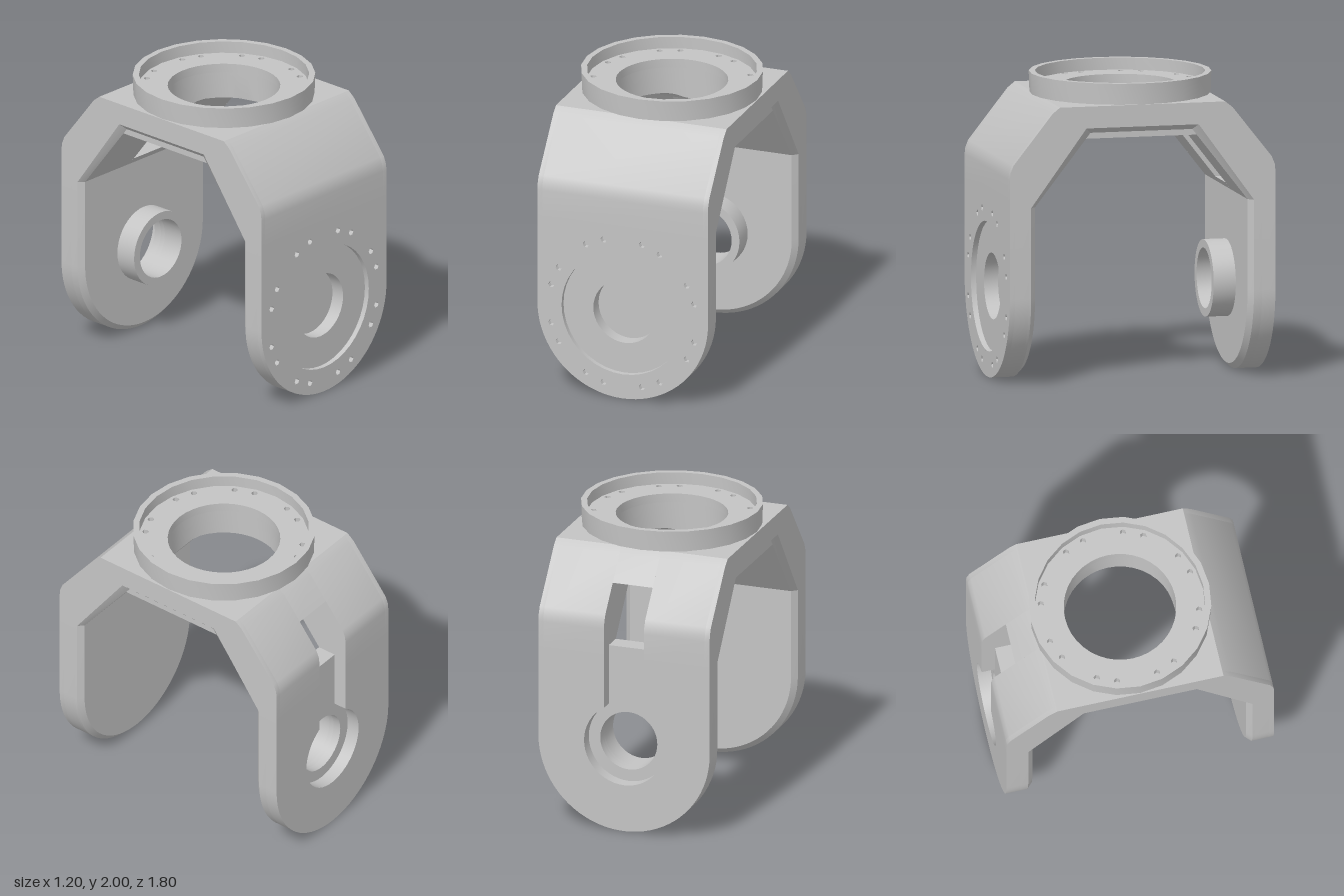
import * as THREE from 'three';
import { toCreasedNormals } from 'three/addons/utils/BufferGeometryUtils.js';

const CY = 0.6;          // centre height of the arm bores
const W = 0.6;           // half width
const EDGE = 0.035;      // chamfer on the inner rim
const C = W - EDGE;      // half width inside the chamfers
const JOIN = 1.2;        // height where the arms meet the arch

const extrude = (shape, depth) =>
  new THREE.ExtrudeGeometry(shape, { depth, bevelEnabled: false, curveSegments: 20 });

const polygon = (points) => new THREE.Shape(points.map(([a, b]) => new THREE.Vector2(a, b)));

const circle = (r, y = 0, Kind = THREE.Path) => {
  const p = new Kind();
  p.absarc(0, y, r, 0, Math.PI * 2, false);
  return p;
};

// Cut sixteen small bolt holes, in fours around each axis
function boltHoles(shape, radius, y) {
  for (let quarter = 0; quarter < 360; quarter += 90) {
    for (const offset of [-30, -15, 15, 30]) {
      const a = THREE.MathUtils.degToRad(quarter + offset);
      const hole = [];
      for (let i = 0; i < 6; i++) {
        const t = (i * Math.PI) / 3;
        hole.push(new THREE.Vector2(
          Math.cos(a) * radius + 0.022 * Math.cos(t),
          Math.sin(a) * radius + 0.022 * Math.sin(t) + y));
      }
      shape.holes.push(new THREE.Path(hole));
    }
  }
  return shape;
}

// Move the vertices of a geometry by a rule
function reshape(geo, rule) {
  const p = geo.attributes.position;
  const v = new THREE.Vector3();
  for (let i = 0; i < p.count; i++) {
    v.fromBufferAttribute(p, i);
    rule(v);
    p.setXYZ(i, v.x, v.y, v.z);
  }
  return geo;
}

// Arm outline with a half-round foot; the top edge may dip into a groove
function armShape(holeRadius, groove) {
  const s = new THREE.Shape();
  s.moveTo(W, JOIN);
  if (groove) {
    const a = Math.acos(groove.half / groove.radius);
    s.lineTo(groove.half, JOIN);
    s.absarc(0, CY, groove.radius, a, Math.PI - a, true);
    s.lineTo(-groove.half, JOIN);
  }
  s.lineTo(-W, JOIN);
  s.lineTo(-W, CY);
  s.absarc(0, CY, W, Math.PI, Math.PI * 2, false);
  s.lineTo(W, JOIN);
  if (holeRadius) s.holes.push(circle(holeRadius, CY));
  return s;
}

// Shrink the outer rim on one face of a layer to make the chamfer
function taper(geo, z) {
  const k = C / W;
  return reshape(geo, (v) => {
    if (Math.abs(v.z - z) > 1e-4 || Math.hypot(v.x, v.y - CY) < 0.5) return;
    v.x *= k;
    if (v.y < CY) v.y = CY + (v.y - CY) * k;
  });
}

export function createModel() {
  const model = new THREE.Group();
  model.name = 'forkBracket';
  const grey = new THREE.MeshStandardMaterial({ color: 0xc4c4c4 });
  grey.name = 'light grey';

  const add = (parent, name, geo) => {
    const m = new THREE.Mesh(toCreasedNormals(geo, 0.5), grey);
    m.name = name;
    parent.add(m);
  };
  const group = (name) => {
    const g = new THREE.Group();
    g.name = name;
    model.add(g);
    return g;
  };
  const layer = (shape, z0, z1) => extrude(shape, z1 - z0).translate(0, 0, z0);
  // Profile given as (distance to the back, height), extruded along x
  const prism = (points, x0, x1) =>
    extrude(polygon(points), x1 - x0).rotateY(Math.PI / 2).translate(x0, 0, 0);
  // Flat shape laid down, between two heights
  const slab = (shape, y0, y1) =>
    extrude(shape, y1 - y0).rotateX(-Math.PI / 2).translate(0, y0, 0);

  // Front arm: solid inside, stepped round recess and bolt circle outside
  const front = group('frontArm');
  add(front, 'frontInnerRim', taper(layer(armShape(0), 0.72, 0.755), 0.72));
  add(front, 'frontWeb', layer(armShape(0), 0.755, 0.77));
  add(front, 'frontBlindBore', layer(armShape(0.22), 0.77, 0.865));
  add(front, 'frontRecess', layer(boltHoles(armShape(0.43), 0.52, CY), 0.865, 0.9));

  // Back arm: through bore, counterbore and groove, bearing boss inside
  const back = group('backArm');
  add(back, 'backInnerRim', taper(layer(armShape(0.2), -0.755, -0.72), -0.72));
  add(back, 'backWeb', layer(armShape(0.2), -0.81, -0.755));
  add(back, 'backGroovedFace', layer(armShape(0, { radius: 0.28, half: 0.14 }), -0.9, -0.81));
  const boss = circle(0.255, CY, THREE.Shape);
  boss.holes.push(circle(0.2, CY));
  add(back, 'bearingBoss', layer(boss, -0.72, -0.57));

  // Sloping shoulders with a rounded bend; the back one is split around the slot
  const arch = group('arch');
  const bend = [[0.9, JOIN], [0.9, 1.39], [0.895, 1.435], [0.875, 1.485], [0.61, 1.82], [0.56, 1.86]];
  const seat = [[0.375, 1.86], [0.375, 1.642]];
  const shoulder = [...bend, ...seat, [0.72, JOIN]];
  add(arch, 'frontShoulder', prism(shoulder, -C, C).rotateY(Math.PI));
  add(arch, 'backShoulderRight', prism(shoulder, -C, -0.14));
  add(arch, 'backShoulderLeft', prism(shoulder, 0.14, C));
  add(arch, 'slotHead', prism(
    [[0.737, 1.66], ...bend.slice(-2), seat[0], [0.375, 1.66]], -0.14, 0.14));
  add(arch, 'slotLedge', prism(
    [[0.81, JOIN], [0.81, 1.25], [0.68, 1.25], [0.72, JOIN]], -0.14, 0.14));

  // Top plate with its round opening; the underside follows the shoulders
  const plate = polygon([[-C, -0.375], [C, -0.375], [C, 0.375], [-C, 0.375]]);
  plate.holes.push(circle(0.37));
  add(arch, 'topPlate', reshape(slab(plate, 1.68, 1.86), (v) => {
    if (v.y < 1.7) v.y -= Math.max(0, Math.abs(v.z) - 0.345) * 1.28;
  }));

  // Chamfered side edges of the arch
  const mirror = (points) => points.map(([z, y]) => [-z, y]).reverse();
  const inner = [[0.345, 1.68], [0.72, JOIN]];
  const outline = [...bend, ...mirror(bend), ...mirror(inner), ...inner];
  for (const [name, turn] of [['leftRim', 0], ['rightRim', Math.PI]]) {
    const rim = reshape(prism(outline, C, W), (v) => {
      if (v.x < W - 1e-4 || Math.abs(v.z) > 0.73 || v.y > 1.8) return;
      v.z += Math.sign(v.z) * EDGE;
      if (v.y > 1.6) v.y += EDGE;
    });
    add(arch, name, rim.rotateY(turn));
  }

  // Thin collar on top, with a drilled flange ring set inside it
  const top = group('topFlange');
  const collar = [[0.595, 1.86], [0.6, 2], [0.56, 2], [0.56, 1.86]];
  add(top, 'collar', new THREE.LatheGeometry(
    collar.map(([r, y]) => new THREE.Vector2(r, y)), 24));
  const flange = circle(0.565, 0, THREE.Shape);
  flange.holes.push(circle(0.37));
  add(top, 'flangeRing', slab(boltHoles(flange, 0.52, 0), 1.86, 1.92));

  return model;
}
